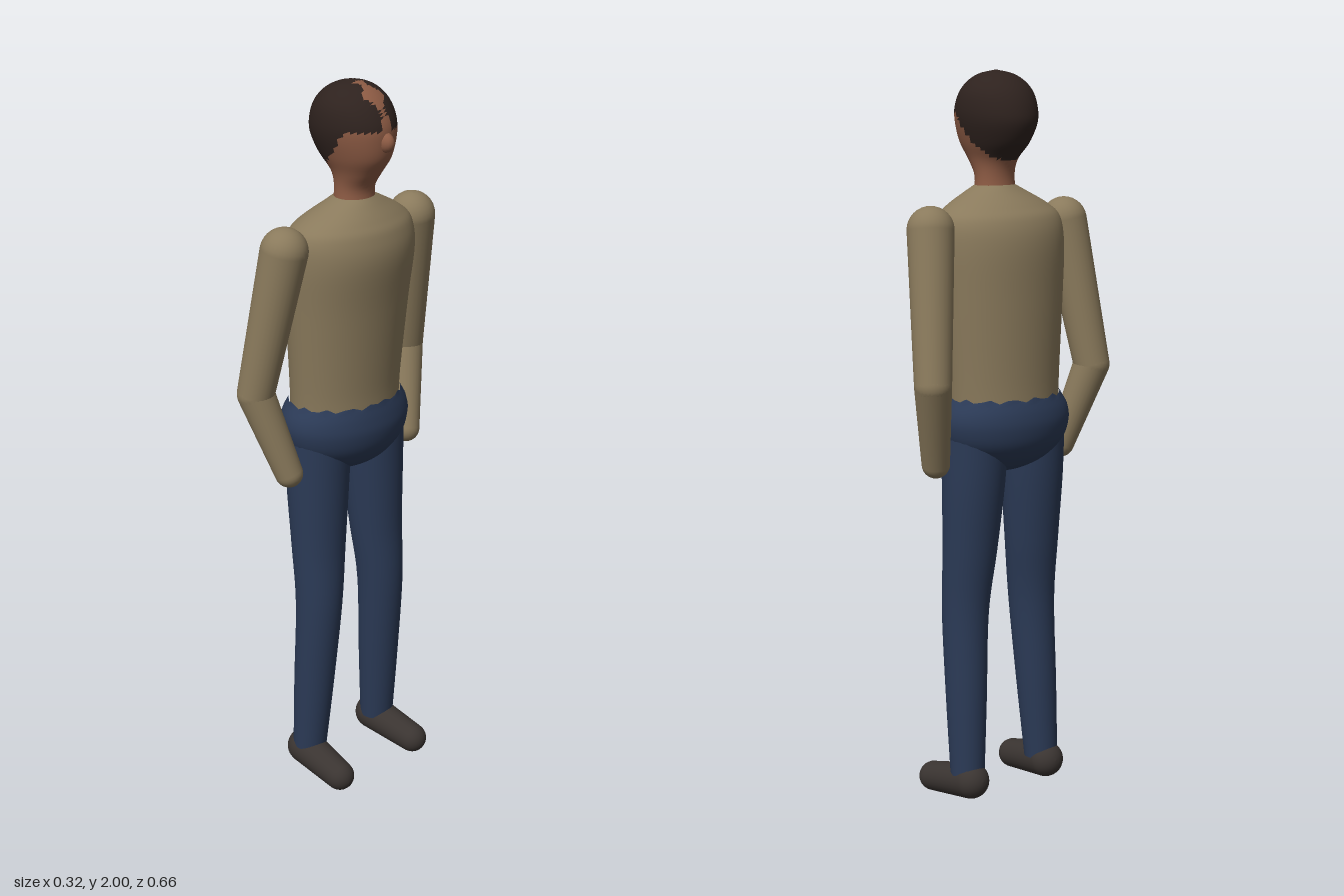
import * as THREE from 'three';

const mat = (color) => new THREE.MeshStandardMaterial({ color });
const shirt = mat(0x8a7a5c), denim = mat(0x2b3a56), leather = mat(0x3a3431);
const skin = mat(0x8d5b44), hairMat = mat(0x2e221e);
const SEG = 40;

// Smooth skin through elliptical sections [y, xCentre, zCentre, xRadius, zRadius], listed upwards
function loft(sections, steps, ragged = 0) {
  const spline = (pick) => new THREE.CatmullRomCurve3(
    sections.map((s) => new THREE.Vector3(...pick(s))), false, 'catmullrom', 0.5);
  const centres = spline((s) => [s[1], s[0], s[2]]);
  const radii = spline((s) => [s[3], 0, s[4]]);
  const pos = [], index = [];
  for (let i = 0; i <= steps; i++) {
    const c = centres.getPoint(i / steps), r = radii.getPoint(i / steps);
    for (let j = 0; j < SEG; j++) {
      const a = (j / SEG) * Math.PI * 2;
      const dy = i === steps ? ragged * Math.sin(j * 2.3) : 0;
      pos.push(c.x + r.x * Math.cos(a), c.y + dy, c.z + r.z * Math.sin(a));
      if (i < steps) {
        const k = i * SEG + j, n = i * SEG + (j + 1) % SEG;
        index.push(k, k + SEG, n, n, k + SEG, n + SEG);
      }
    }
  }
  const geo = new THREE.BufferGeometry();
  geo.setAttribute('position', new THREE.Float32BufferAttribute(pos, 3));
  geo.setIndex(index);
  geo.computeVertexNormals();
  return geo;
}

// Tapered capsule between two points
function capsule(a, ra, b, rb) {
  const from = new THREE.Vector3(...a), to = new THREE.Vector3(...b);
  const len = from.distanceTo(to), profile = [];
  for (let i = 0; i <= 16; i++) {
    const t = -Math.PI / 2 + (Math.PI * i) / 16;
    if (i <= 8) profile.push(new THREE.Vector2(ra * Math.cos(t), ra * Math.sin(t)));
    if (i >= 8) profile.push(new THREE.Vector2(Math.max(0, rb * Math.cos(t)), len + rb * Math.sin(t)));
  }
  profile[0].x = 0;
  const geo = new THREE.LatheGeometry(profile, 28);
  const dir = to.clone().sub(from).normalize();
  geo.applyQuaternion(new THREE.Quaternion().setFromUnitVectors(new THREE.Vector3(0, 1, 0), dir));
  return geo.translate(...a);
}

// Hair covers the crown, sides and nape, parted by a bare strip over the forehead
function isHair(x, y, z) {
  if (x > 0.03 && Math.abs(z) < 0.02 + 0.012 * Math.sin(x * 90)) return false;
  const line = x < -0.04 ? 1.765
    : x < 0.03 ? 1.765 + (x + 0.04) * 0.9
    : 1.828 + Math.min(0.06, (x - 0.03) * 1.4);
  return y > line;
}

// The faces of a geometry whose centre passes a test
function pickFaces(geo, test) {
  const p = geo.attributes.position, src = geo.index.array, keep = [];
  for (let i = 0; i < src.length; i += 3) {
    const f = [src[i], src[i + 1], src[i + 2]];
    const mid = (get) => f.reduce((sum, v) => sum + get(v), 0) / 3;
    if (test(mid((v) => p.getX(v)), mid((v) => p.getY(v)), mid((v) => p.getZ(v)))) keep.push(...f);
  }
  const part = geo.clone();
  part.setIndex(keep);
  return part;
}

export function createModel() {
  const model = new THREE.Group();
  model.name = 'standingFigure';
  const add = (name, geo, material) => {
    const mesh = new THREE.Mesh(geo, material);
    mesh.name = name;
    model.add(mesh);
    return mesh;
  };

  // Shirt body
  add('torso', loft([
    [1.12, -0.016, 0, 0.124, 0.165],
    [1.2, -0.014, 0, 0.125, 0.17],
    [1.4, -0.006, 0, 0.135, 0.186],
    [1.54, 0.003, 0, 0.143, 0.196],
    [1.61, 0.006, 0, 0.13, 0.188],
    [1.645, 0.011, 0, 0.105, 0.155],
    [1.68, 0.018, 0, 0.07, 0.092],
    [1.7, 0.02, 0, 0.05, 0.052],
  ], 42), shirt);

  // Trouser seat with an uneven waist
  add('hips', loft([
    [0.925, -0.015, 0, 0.001, 0.001],
    [0.935, -0.015, 0, 0.045, 0.06],
    [0.965, -0.017, 0, 0.098, 0.125],
    [1.01, -0.018, 0, 0.132, 0.178],
    [1.06, -0.018, 0, 0.144, 0.197],
    [1.1, -0.018, 0, 0.14, 0.193],
    [1.138, -0.016, 0, 0.128, 0.17],
  ], 30, 0.006), denim);

  // Head and neck, split into skin and hair
  const head = loft([
    [1.66, 0.02, 0, 0.056, 0.06],
    [1.72, 0.021, 0, 0.051, 0.055],
    [1.765, 0.028, 0, 0.072, 0.062],
    [1.81, 0.022, 0, 0.108, 0.081],
    [1.86, 0.015, 0, 0.125, 0.097],
    [1.9, 0.015, 0, 0.123, 0.101],
    [1.94, 0.014, 0, 0.106, 0.094],
    [1.97, 0.014, 0, 0.08, 0.074],
    [1.99, 0.015, 0, 0.046, 0.043],
    [2.0, 0.015, 0, 0.001, 0.001],
  ], 45);
  add('face', pickFaces(head, (x, y, z) => !isHair(x, y, z)), skin);
  add('hair', pickFaces(head, isHair), hairMat);
  const nose = add('nose', new THREE.SphereGeometry(1, 20, 14), skin);
  nose.scale.set(0.03, 0.027, 0.02);
  nose.position.set(0.13, 1.858, 0);

  // Limbs on both sides; the figure looks along +x
  for (const [side, s] of [['front', 1], ['back', -1]]) {
    add(side + 'UpperArm', capsule([0.003, 1.592, s * 0.232], 0.063, [-0.063, 1.195, s * 0.279], 0.05), shirt);
    add(side + 'Forearm', capsule([-0.063, 1.195, s * 0.279], 0.05, [0, 0.968, s * 0.222], 0.038), shirt);
    add(side + 'Leg', loft([
      [0.08, -0.022, s * 0.134, 0.047, 0.047],
      [0.3, -0.009, s * 0.127, 0.057, 0.056],
      [0.54, 0.004, s * 0.119, 0.065, 0.064],
      [0.72, -0.006, s * 0.11, 0.073, 0.076],
      [0.9, -0.014, s * 0.104, 0.085, 0.086],
      [1.04, -0.016, s * 0.1, 0.092, 0.09],
    ], 30), denim);
    add(side + 'Shoe', capsule([-0.04, 0.07, s * 0.136], 0.05, [0.114, 0.043, s * 0.146], 0.041), leather);
  }
  return model;
}
